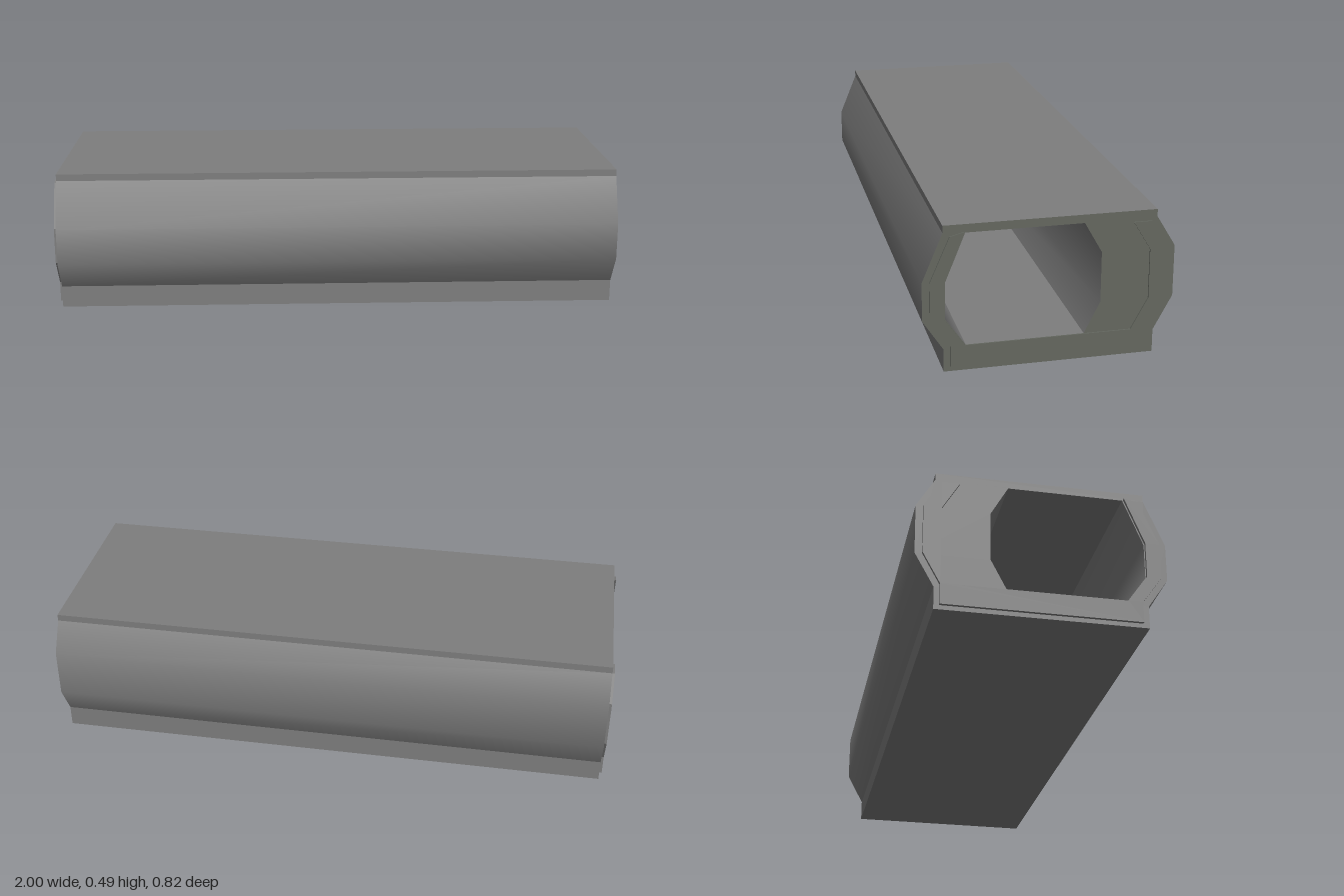
import * as THREE from 'three';

// Body ends along x, and the tips of the joint ridges standing on them
const RIGHT_END = -0.99, LEFT_END = 0.995, TIP = 1;

// Cross-section runs as [z, y] points, in order: front up, top, back down
const frontSide = [[0.343, 0.077], [0.41, 0.179], [0.41, 0.308], [0.343, 0.468]];
const backSide = [[-0.348, 0.468], [-0.41, 0.365], [-0.41, 0.192], [-0.348, 0.077]];
const topFront = [0.343, 0.492], topBack = [-0.348, 0.492];
const bottomFront = [0.343, 0], bottomBack = [-0.348, 0];

// Walls of the tunnel bore, in the opposite order
const boreFront = [[0.272, 0.464], [0.337, 0.302], [0.337, 0.18], [0.272, 0.087]];
const boreBack = [[-0.115, 0.087], [-0.168, 0.192], [-0.168, 0.362], [-0.11, 0.464]];

// U-shaped joint ridge standing on the end faces
const ridge = [
  [0.322, 0.015], [0.322, 0.087], [0.387, 0.18], [0.387, 0.305], [0.322, 0.455], [0.275, 0.467],
  [0.34, 0.304], [0.34, 0.18], [0.275, 0.087],
  [-0.27, 0.087], [-0.327, 0.192], [-0.327, 0.36], [-0.27, 0.455],
  [-0.33, 0.455], [-0.386, 0.365], [-0.386, 0.192], [-0.33, 0.087], [-0.33, 0.015],
];

export function createModel() {
  const group = new THREE.Group();
  const concrete = new THREE.MeshStandardMaterial({ color: 0x7e7e7e, side: THREE.DoubleSide });
  const darkConcrete = new THREE.MeshStandardMaterial({ color: 0x64675f, side: THREE.DoubleSide });

  const add = (name, geometry, material) => {
    const mesh = new THREE.Mesh(geometry, material);
    mesh.name = name;
    group.add(mesh);
    return mesh;
  };

  // Sweep a run of points along x; normals are smooth within one run
  const panel = (name, points) => {
    const positions = [], index = [];
    points.forEach(([z, y], i) => {
      positions.push(RIGHT_END, y, z, LEFT_END, y, z);
      if (i > 0) {
        const a = 2 * i - 2;
        index.push(a, a + 1, a + 3, a, a + 3, a + 2);
      }
    });
    const geometry = new THREE.BufferGeometry();
    geometry.setAttribute('position', new THREE.Float32BufferAttribute(positions, 3));
    geometry.setIndex(index);
    geometry.computeVertexNormals();
    add(name, geometry, concrete);
  };

  // Outer shell
  panel('frontSkirt', [bottomFront, frontSide[0]]);
  panel('frontSide', frontSide);
  panel('frontTopEdge', [frontSide[3], topFront]);
  panel('roof', [topFront, topBack]);
  panel('backTopEdge', [topBack, backSide[0]]);
  panel('backSide', backSide);
  panel('backSkirt', [backSide[3], bottomBack]);
  panel('underside', [bottomBack, bottomFront]);

  // Bore
  panel('boreFrontWall', boreFront);
  panel('boreFloor', [boreFront[3], boreBack[0]]);
  panel('boreBackWall', boreBack);
  panel('boreCeiling', [boreBack[3], boreFront[0]]);

  // End faces with their raised joint ridges; the left end is darker
  const outline = [bottomFront, ...frontSide, topFront, topBack, ...backSide, bottomBack];
  const bore = [...boreFront, ...boreBack];
  const buildEnd = (prefix, x, material) => {
    const side = Math.sign(x);
    const toPoints = (list) => list.map(([z, y]) => new THREE.Vector2(-side * z, y));
    const place = (name, geometry) => {
      geometry.rotateY(side * Math.PI / 2);
      add(prefix + name, geometry, material).position.x = x;
    };
    const face = new THREE.Shape(toPoints(outline));
    face.holes.push(new THREE.Path(toPoints(bore)));
    place('EndFace', new THREE.ShapeGeometry(face));
    place('JointRidge', new THREE.ExtrudeGeometry(
      new THREE.Shape(toPoints(ridge)), { depth: TIP - Math.abs(x), bevelEnabled: false }));
  };
  buildEnd('left', LEFT_END, darkConcrete);
  buildEnd('right', RIGHT_END, concrete);
  return group;
}
